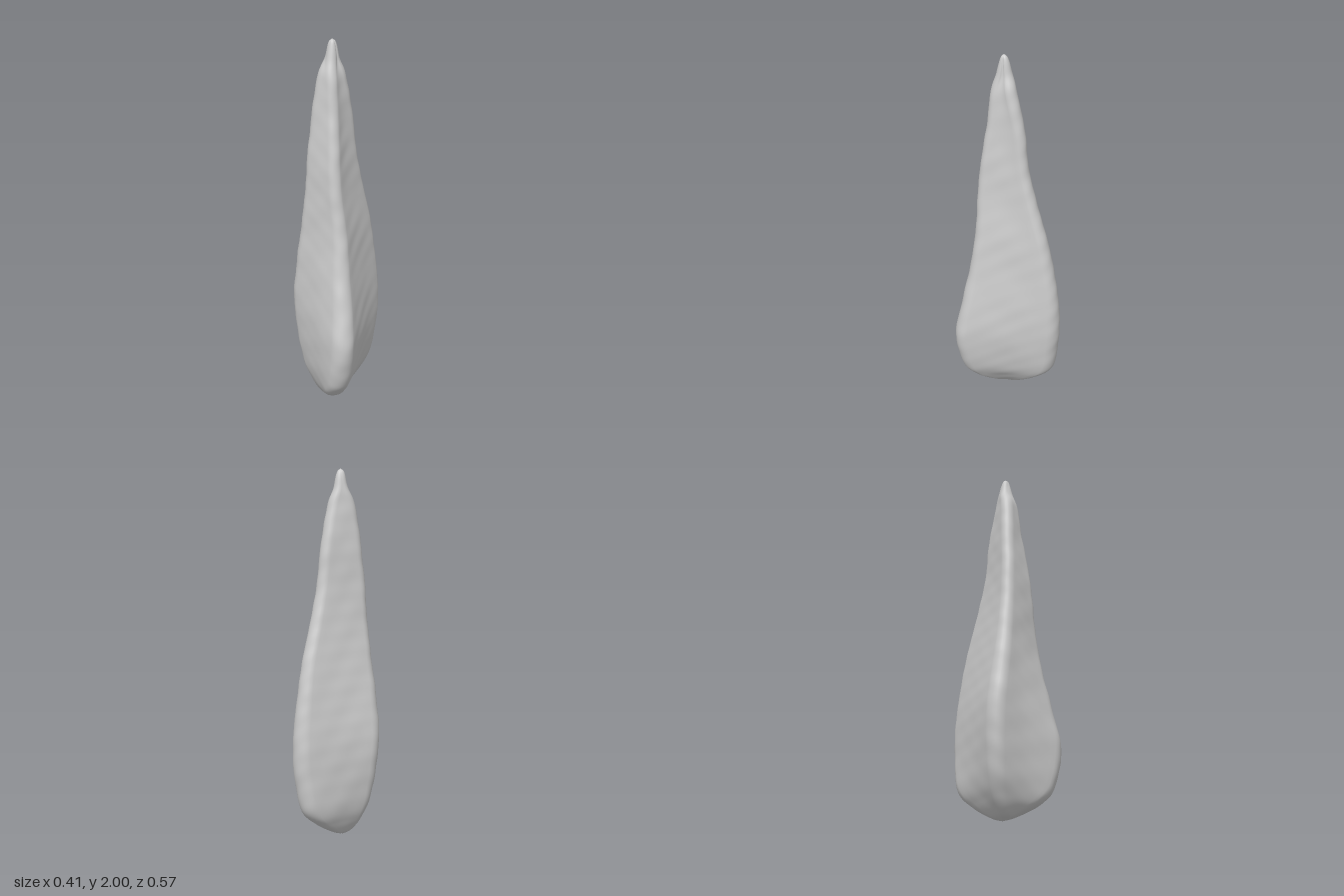
import * as THREE from 'three';

// Levels from base to tip: y, then x,z of the left, front and back ridge centres, ridge radius
const LEVELS = [
  [0, -0.012, 0.02, -0.009, 0.022, -0.008, 0.018, 0.001],
  [0.03, -0.025, 0.03, 0.015, 0.06, 0.01, -0.02, 0.035],
  [0.1, -0.055, 0.03, 0.065, 0.145, 0.045, -0.105, 0.055],
  [0.2, -0.09, 0.03, 0.11, 0.195, 0.08, -0.19, 0.065],
  [0.4, -0.127, 0.035, 0.137, 0.217, 0.105, -0.217, 0.068],
  [0.6, -0.14, 0.045, 0.122, 0.185, 0.112, -0.22, 0.065],
  [0.8, -0.122, 0.06, 0.1, 0.152, 0.107, -0.197, 0.058],
  [1.0, -0.1, 0.07, 0.085, 0.13, 0.1, -0.165, 0.05],
  [1.2, -0.08, 0.075, 0.06, 0.125, 0.08, -0.11, 0.045],
  [1.4, -0.068, 0.075, 0.045, 0.113, 0.063, -0.063, 0.042],
  [1.6, -0.05, 0.065, 0.03, 0.085, 0.05, -0.04, 0.04],
  [1.8, -0.025, 0.055, 0.015, 0.065, 0.035, 0, 0.038],
  [1.9, 0, 0.035, 0.01, 0.045, 0.015, 0.02, 0.03],
  [1.98, 0.005, 0.035, 0.011, 0.038, 0.013, 0.03, 0.016],
  [2, 0.008, 0.035, 0.011, 0.037, 0.012, 0.033, 0.001],
];
const RINGS = 126, ARC = 9, SIDE = 10;

const spline = (pick) => new THREE.CatmullRomCurve3(
  LEVELS.map((l) => new THREE.Vector3(...pick(l))), false, 'catmullrom', 0.5);

// Rounded triangle around three ridge centres, with a slightly hollow side between back and front
function crossSection(corners, r) {
  const points = [];
  const normalAngle = (p, q) => Math.atan2(-(q.x - p.x), q.z - p.z);
  for (let i = 0; i < 3; i++) {
    const prev = corners[(i + 2) % 3], c = corners[i], next = corners[(i + 1) % 3];
    const a = normalAngle(prev, c);
    let b = normalAngle(c, next);
    while (b < a) b += Math.PI * 2;
    for (let k = 0; k <= ARC; k++) {
      const t = a + (b - a) * k / ARC;
      points.push([c.x + r * Math.cos(t), c.z + r * Math.sin(t)]);
    }
    for (let k = 1; k < SIDE; k++) {
      const s = k / SIDE;
      const d = r - (i === 2 ? 0.15 * r * Math.sin(Math.PI * s) : 0);
      points.push([
        c.x + (next.x - c.x) * s + d * Math.cos(b),
        c.z + (next.z - c.z) * s + d * Math.sin(b),
      ]);
    }
  }
  return points;
}

// Gentle hand-worked unevenness
const ripple = (x, y, z) =>
  0.0018 * Math.sin(13 * y + 25 * x + 1) * Math.cos(22 * z - 9 * y)
  + 0.0012 * Math.sin(47 * y + 30 * z) * Math.cos(38 * x + 11 * y);

export function createModel() {
  const group = new THREE.Group();
  group.name = 'taperedStone';

  const front = spline((l) => [l[3], l[0], l[4]]);
  const left = spline((l) => [l[1], l[0], l[2]]);
  const back = spline((l) => [l[5], l[0], l[6]]);
  const radius = spline((l) => [l[7], l[0], 0]);

  // Loft the sections from base to tip
  const positions = [], index = [];
  let n = 0;
  for (let j = 0; j <= RINGS; j++) {
    const t = j / RINGS;
    const corners = [front, left, back].map((curve) => curve.getPoint(t));
    const y = THREE.MathUtils.clamp(corners[0].y, 0, 2);
    const r = Math.max(0.001, radius.getPoint(t).x);
    const ring = crossSection(corners, r);
    n = ring.length;
    const cx = (corners[0].x + corners[1].x + corners[2].x) / 3;
    const cz = (corners[0].z + corners[1].z + corners[2].z) / 3;
    for (const [x, z] of ring) {
      const dx = x - cx, dz = z - cz;
      const k = 1 + ripple(x, y, z) / Math.max(0.04, Math.hypot(dx, dz));
      positions.push(cx + dx * k, y, cz + dz * k);
    }
  }
  for (let j = 0; j < RINGS; j++) {
    for (let i = 0; i < n; i++) {
      const a = j * n + i, b = j * n + (i + 1) % n;
      index.push(a, a + n, b, b, a + n, b + n);
    }
  }
  // Close the base and the tip
  const top = RINGS * n;
  for (let i = 1; i < n - 1; i++) {
    index.push(0, i, i + 1, top, top + i + 1, top + i);
  }

  const geometry = new THREE.BufferGeometry();
  geometry.setAttribute('position', new THREE.Float32BufferAttribute(positions, 3));
  geometry.setIndex(index);
  geometry.computeVertexNormals();

  const body = new THREE.Mesh(geometry, new THREE.MeshStandardMaterial({ color: 0xcccccc }));
  body.name = 'stoneBody';
  group.add(body);
  return group;
}
